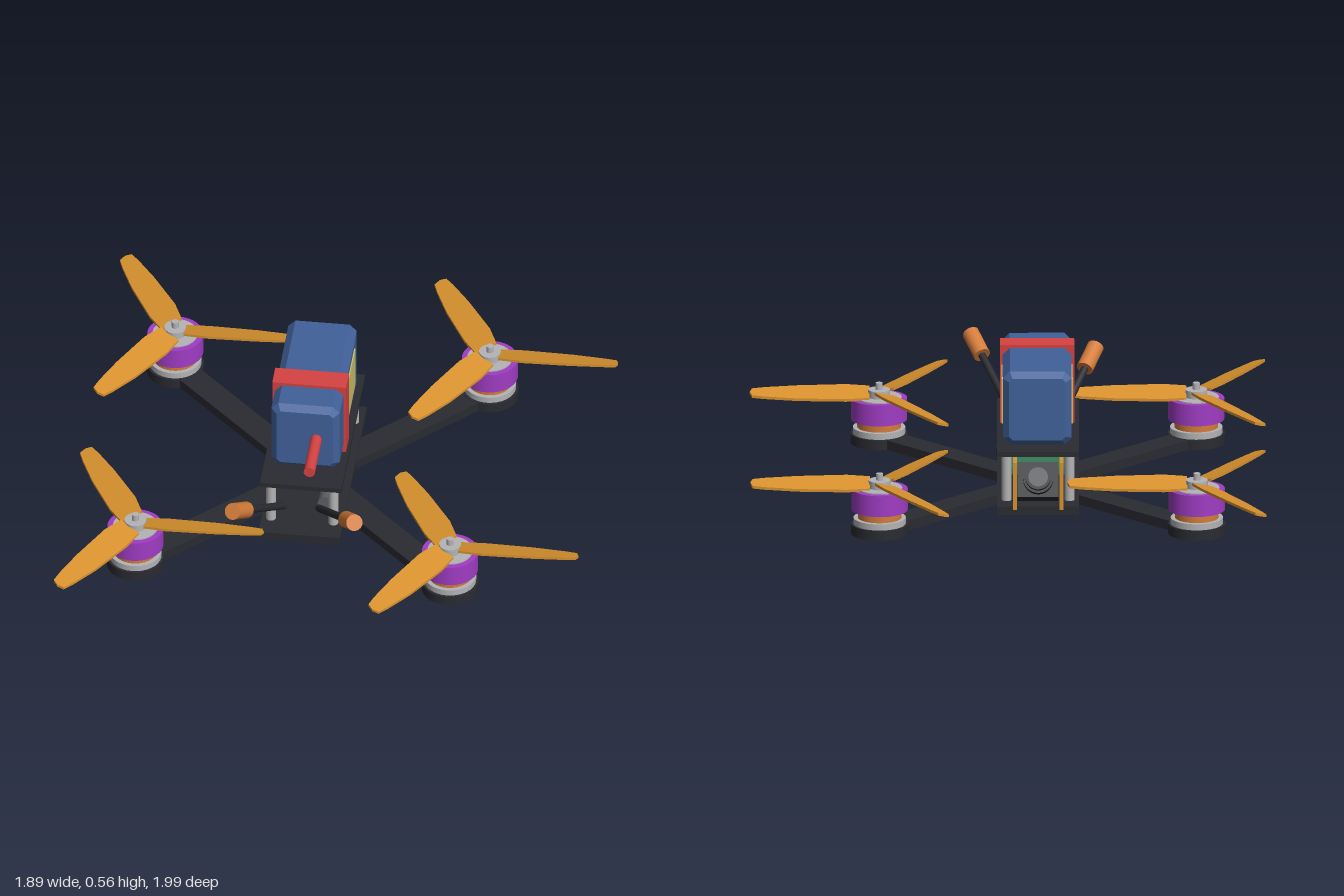
import * as THREE from 'three';

const mat = (name, color) => {
  const m = new THREE.MeshStandardMaterial({ color });
  m.name = name;
  return m;
};

export function createModel() {
  const M = {
    carbon: mat('carbon black', 0x2a2b31),
    purple: mat('anodised purple', 0xa03cc4),
    amber: mat('amber plastic', 0xd9922e),
    blue: mat('battery blue', 0x41619a),
    red: mat('strap red', 0xd64242),
    yellow: mat('label yellow', 0xcdc568),
    green: mat('board green', 0x357a58),
    silver: mat('silver', 0xb4b4b6),
    grey: mat('dark grey', 0x5f6064),
    copper: mat('copper', 0xd47c3a),
  };
  const model = new THREE.Group();
  model.name = 'quadcopter';
  // The airframe sits off centre because each propeller reaches further to +x.
  const frame = new THREE.Group();
  frame.name = 'airframe';
  frame.position.x = -0.115;
  model.add(frame);

  const add = (name, geo, m, x = 0, y = 0, z = 0, parent = frame) => {
    const mesh = new THREE.Mesh(geo, m);
    mesh.name = name;
    mesh.position.set(x, y, z);
    parent.add(mesh);
    return mesh;
  };
  const box = (w, h, d) => new THREE.BoxGeometry(w, h, d);
  const cyl = (r, h, n = 32) => new THREE.CylinderGeometry(r, r, h, n);
  // Cylinder standing between two heights
  const disc = (name, r, y0, y1, m, parent, n) => add(name, cyl(r, y1 - y0, n), m, 0, (y0 + y1) / 2, 0, parent);
  // Cylinder between two points
  const rod = (name, a, b, r, m) => {
    const d = b.clone().sub(a);
    const mesh = add(name, cyl(r, d.length(), 16), m);
    mesh.position.copy(a).add(b).multiplyScalar(0.5);
    mesh.quaternion.setFromUnitVectors(new THREE.Vector3(0, 1, 0), d.normalize());
    return mesh;
  };
  // Box with all edges chamfered by c
  const chamferBox = (w, h, d, c) => {
    const x = w / 2 - c, y = h / 2 - c, k = c * 0.6;
    const s = new THREE.Shape([
      [-x + k, -y], [x - k, -y], [x, -y + k], [x, y - k],
      [x - k, y], [-x + k, y], [-x, y - k], [-x, -y + k],
    ].map(p => new THREE.Vector2(...p)));
    return new THREE.ExtrudeGeometry(s, {
      depth: d - 2 * c, bevelEnabled: true, bevelSize: c, bevelThickness: c, bevelSegments: 1,
    }).translate(0, 0, c - d / 2);
  };

  // Pitched propeller blade pointing along +x
  const outline = [
    [0.035, -0.04], [0.12, -0.05], [0.3, -0.042], [0.42, -0.03], [0.465, -0.022],
    [0.473, 0], [0.465, 0.024], [0.42, 0.032], [0.3, 0.045], [0.12, 0.05], [0.035, 0.042],
  ];
  const bladeGeo = new THREE.ExtrudeGeometry(
    new THREE.Shape(outline.map(p => new THREE.Vector2(...p))), { depth: 0.01, bevelEnabled: false });
  bladeGeo.rotateX(-Math.PI / 2);
  const bp = bladeGeo.attributes.position;
  for (let i = 0; i < bp.count; i++) bp.setY(i, bp.getY(i) - 0.005 + 0.28 * bp.getZ(i));
  bladeGeo.computeVertexNormals();

  // Arms, motors and propellers
  const D = 0.58;
  for (const sx of [-1, 1]) for (const sz of [-1, 1]) {
    const arm = add('arm', box(D * Math.SQRT2, 0.036, 0.1), M.carbon, sx * D / 2, 0.048, sz * D / 2);
    arm.rotation.y = -Math.atan2(sz, sx);

    const motor = new THREE.Group();
    motor.name = 'motor';
    motor.position.set(sx * D, 0, sz * D);
    frame.add(motor);
    disc('armEnd', 0.105, 0.03, 0.067, M.carbon, motor);
    disc('motorBase', 0.096, 0.067, 0.09, M.silver, motor);
    disc('stator', 0.08, 0.09, 0.12, M.copper, motor);
    disc('bell', 0.103, 0.12, 0.2, M.purple, motor);
    disc('bellCap', 0.083, 0.2, 0.204, M.silver, motor);
    disc('propHub', 0.04, 0.2, 0.232, M.silver, motor);
    disc('shaft', 0.013, 0.23, 0.257, M.silver, motor, 16);
    for (let k = 0; k < 3; k++) {
      add('propBlade', bladeGeo, M.amber, 0, 0.218, 0, motor).rotation.y = k * Math.PI * 2 / 3;
    }
  }

  // Frame plates, centre bolt and standoffs
  add('bottomPlate', box(0.3, 0.032, 0.79), M.carbon, 0, 0.058, 0);
  add('topPlate', box(0.3, 0.018, 0.69), M.carbon, 0, 0.257, 0.005);
  disc('centreBoltHead', 0.05, 0, 0.05, M.carbon, frame);
  disc('centreBolt', 0.03, 0.04, 0.095, M.carbon, frame);
  for (const x of [-0.115, 0.115]) for (const z of [-0.305, 0.305]) {
    add('standoff', cyl(0.018, 0.18, 16), M.silver, x, 0.16, z);
  }

  // Electronics between the plates
  add('lowerBoard', box(0.22, 0.022, 0.26), M.green, 0, 0.129, 0);
  add('upperBoard', box(0.22, 0.022, 0.235), M.green, 0, 0.193, 0.003);
  add('transmitter', box(0.17, 0.04, 0.21), M.grey, 0, 0.221, 0.155);
  add('transmitterBase', box(0.15, 0.03, 0.14), M.grey, 0, 0.19, 0.12);
  add('capacitor', cyl(0.033, 0.09, 20), M.grey, 0.085, 0.128, 0.225).rotation.x = Math.PI / 2;

  // Camera with side plates, tilted upwards at the rear
  for (const x of [-0.085, 0.085]) add('cameraPlate', box(0.014, 0.178, 0.165), M.amber, x, 0.158, -0.335);
  const camera = new THREE.Group();
  camera.name = 'camera';
  camera.position.set(0, 0.155, -0.345);
  camera.rotation.x = 0.45;
  frame.add(camera);
  add('cameraBody', box(0.15, 0.13, 0.09), M.carbon, 0, 0, 0, camera);
  add('lensBarrel', cyl(0.055, 0.04, 24), M.carbon, 0, 0, -0.06, camera).rotation.x = Math.PI / 2;
  add('lensRing', cyl(0.046, 0.03, 24), M.carbon, 0, 0, -0.09, camera).rotation.x = Math.PI / 2;
  add('lensGlass', cyl(0.036, 0.006, 24), M.grey, 0, 0, -0.106, camera).rotation.x = Math.PI / 2;

  // Battery with labels, strap and lead
  add('battery', chamferBox(0.252, 0.278, 0.54, 0.022), M.blue, 0.003, 0.412, -0.016);
  for (const s of [-1, 1]) add('batteryLabel', box(0.008, 0.17, 0.19), M.yellow, 0.003 + s * 0.126, 0.415, -0.095);
  add('strap', box(0.272, 0.298, 0.088), M.red, 0.003, 0.413, 0.083);
  add('batteryLead', cyl(0.021, 0.22, 16), M.red, 0.045, 0.414, 0.345).rotation.x = Math.PI / 2;

  // Antennas
  const v = (x, y, z) => new THREE.Vector3(x, y, z);
  for (const [a, b] of [
    [v(-0.065, 0.155, 0.33), v(-0.212, 0.37, 0.665)],
    [v(0.065, 0.155, 0.33), v(0.245, 0.405, 0.72)],
  ]) {
    const tip = b.clone().sub(a).setLength(0.115).negate().add(b);
    rod('antennaRod', a, tip, 0.014, M.carbon);
    rod('antennaTip', tip, b, 0.031, M.copper);
  }
  return model;
}
